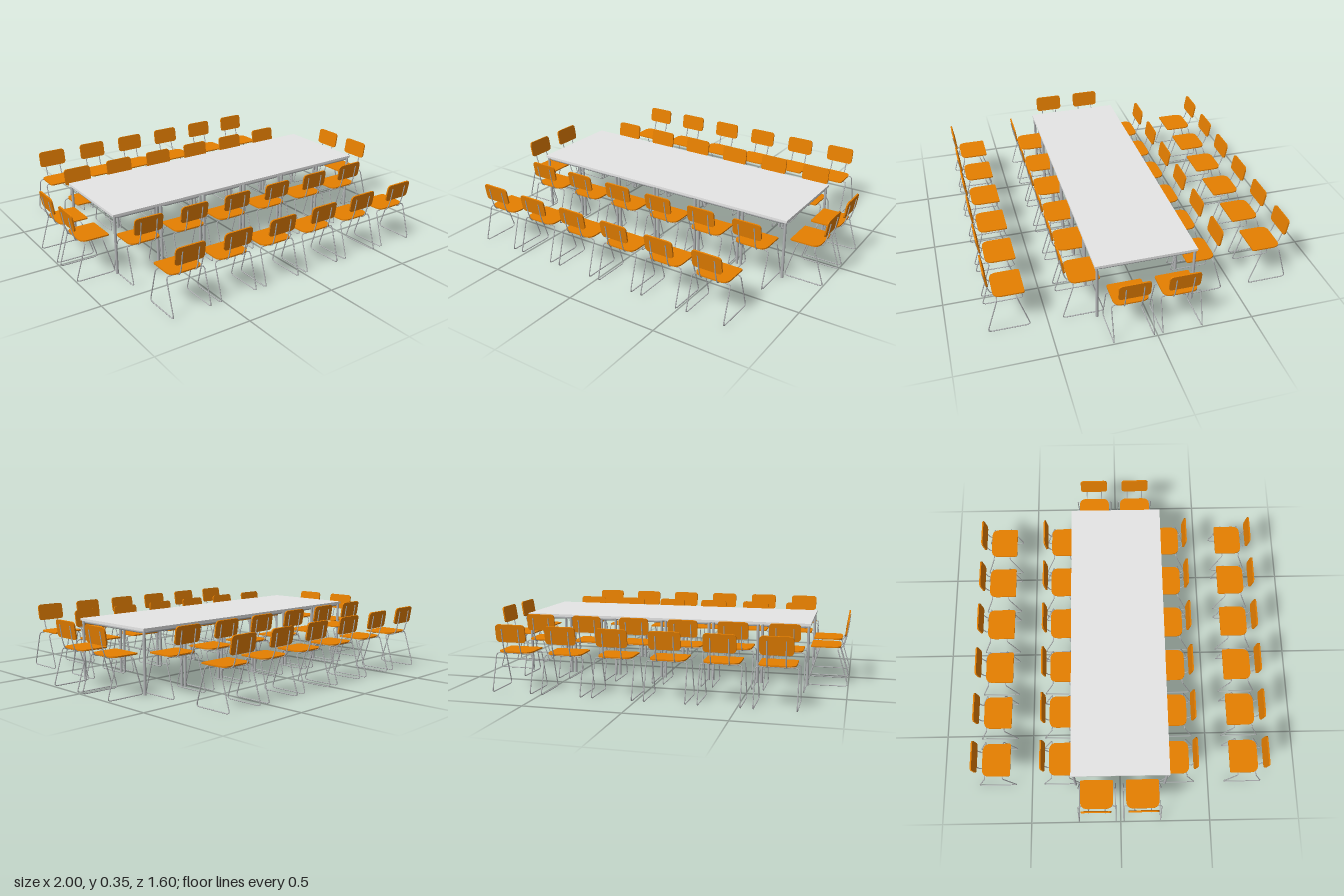
import * as THREE from 'three';

const orange = new THREE.MeshStandardMaterial({ name: 'orange wood', color: 0xe67f00 });
const topGrey = new THREE.MeshStandardMaterial({ name: 'light grey laminate', color: 0xe6e6e6 });
const metal = new THREE.MeshStandardMaterial({ name: 'grey metal', color: 0xb2b4b6 });

// Straight tube path with rounded corners
function tube(points, corner, radius, segments, closed) {
  const p = points.map((a) => new THREE.Vector3(...a));
  const n = p.length;
  const path = new THREE.CurvePath();
  const toward = (a, b) => a.clone().add(b.clone().sub(a).setLength(Math.min(corner, a.distanceTo(b) / 2)));
  let last = closed ? toward(p[0], p[1]) : p[0];
  for (let i = 1; i <= (closed ? n : n - 2); i++) {
    const c = p[i % n];
    const a = toward(c, p[(i - 1) % n]);
    const b = toward(c, p[(i + 1) % n]);
    if (last.distanceTo(a) > 1e-5) path.add(new THREE.LineCurve3(last, a));
    path.add(new THREE.QuadraticBezierCurve3(a, c, b));
    last = b;
  }
  if (!closed) path.add(new THREE.LineCurve3(last, p[n - 1]));
  return new THREE.TubeGeometry(path, segments, radius, 6, closed);
}

// Rounded rectangle with separate radii at the low and high y ends
function panelShape(halfWidth, y0, y1, r0, r1) {
  const w = halfWidth;
  const s = new THREE.Shape();
  s.moveTo(-w + r0, y0);
  s.lineTo(w - r0, y0);
  s.quadraticCurveTo(w, y0, w, y0 + r0);
  s.lineTo(w, y1 - r1);
  s.quadraticCurveTo(w, y1, w - r1, y1);
  s.lineTo(-w + r1, y1);
  s.quadraticCurveTo(-w, y1, -w, y1 - r1);
  s.lineTo(-w, y0 + r0);
  s.quadraticCurveTo(-w, y0, -w + r0, y0);
  return s;
}

function add(parent, name, geometry, material, x = 0, y = 0, z = 0) {
  const mesh = new THREE.Mesh(geometry, material);
  mesh.name = name;
  mesh.position.set(x, y, z);
  parent.add(mesh);
  return mesh;
}

// Chair faces +z, with the rear of its runners at z = 0
function makeChair() {
  const chair = new THREE.Group();
  const w = 0.103, low = 0.003, high = 0.198;

  // Sled base: one continuous bent tube
  const base = tube([
    [-w, high, 0.06], [w, high, 0.06], [w, low, 0], [w, low, 0.215],
    [w, high, 0.155], [-w, high, 0.155], [-w, low, 0.215], [-w, low, 0],
  ], 0.016, 0.003, 130, true);
  add(chair, 'sledBase', base, metal);

  // Seat panel
  const seat = new THREE.ExtrudeGeometry(panelShape(0.09, 0.045, 0.2, 0.042, 0.01),
    { depth: 0.007, bevelEnabled: false, curveSegments: 6 });
  seat.rotateX(Math.PI / 2);
  add(chair, 'seat', seat, orange, 0, 0.209, 0);

  // Backrest panel, leaning back
  const back = new THREE.ExtrudeGeometry(panelShape(0.08, -0.046, 0.046, 0.02, 0.02),
    { depth: 0.008, bevelEnabled: false, curveSegments: 5 });
  add(chair, 'backrest', back, orange, 0, 0.307, 0.0125).rotation.x = -0.15;

  // Pair of tubes running under the seat and up behind the backrest
  const support = tube([
    [0, 0.198, 0.17], [0, 0.198, 0.036], [0, 0.25, 0.0195], [0, 0.332, 0.0065],
  ], 0.02, 0.003, 24, false);
  for (const x of [-0.045, 0.045]) add(chair, 'backSupport', support, metal, x);
  return chair;
}

// One table section, six of which form the long table
function makeTable(width, depth) {
  const table = new THREE.Group();
  const x = width / 2 - 0.012, z = depth / 2 - 0.012;
  add(table, 'tabletop', new THREE.BoxGeometry(width, 0.013, depth), topGrey, 0, 0.3265, 0);
  const rail = tube([[-x, 0.314, -z], [x, 0.314, -z], [x, 0.314, z], [-x, 0.314, z]], 0.03, 0.0075, 90, true);
  add(table, 'underFrame', rail, metal);
  const leg = new THREE.CylinderGeometry(0.0075, 0.0075, 0.32, 12);
  for (const sx of [-1, 1]) for (const sz of [-1, 1]) add(table, 'tableLeg', leg, metal, sx * x, 0.16, sz * z);
  return table;
}

export function createModel() {
  const model = new THREE.Group();
  model.name = 'diningSet';
  const pitch = 1.6 / 6;

  const section = makeTable(pitch, 0.53);
  for (let i = 0; i < 6; i++) {
    const t = section.clone();
    t.name = 'tableSection';
    t.position.x = (i - 2.5) * pitch;
    model.add(t);
  }

  const chair = makeChair();
  const place = (name, x, z, turn) => {
    const c = chair.clone();
    c.name = name;
    c.position.set(x, 0, z);
    c.rotation.y = turn;
    model.add(c);
  };
  // Two rows of chairs along each long side
  for (let i = 0; i < 6; i++) {
    const x = -0.681 + i * 0.267;
    place('backOuterChair', x, -0.802, 0);
    place('backInnerChair', x, -0.435, 0);
    place('frontOuterChair', x, 0.802, Math.PI);
    place('frontInnerChair', x, 0.424, Math.PI);
  }
  // Two chairs at each end
  for (const z of [-0.13, 0.12]) {
    place('rightEndChair', -1, z, Math.PI / 2);
    place('leftEndChair', 1, z, -Math.PI / 2);
  }
  return model;
}
